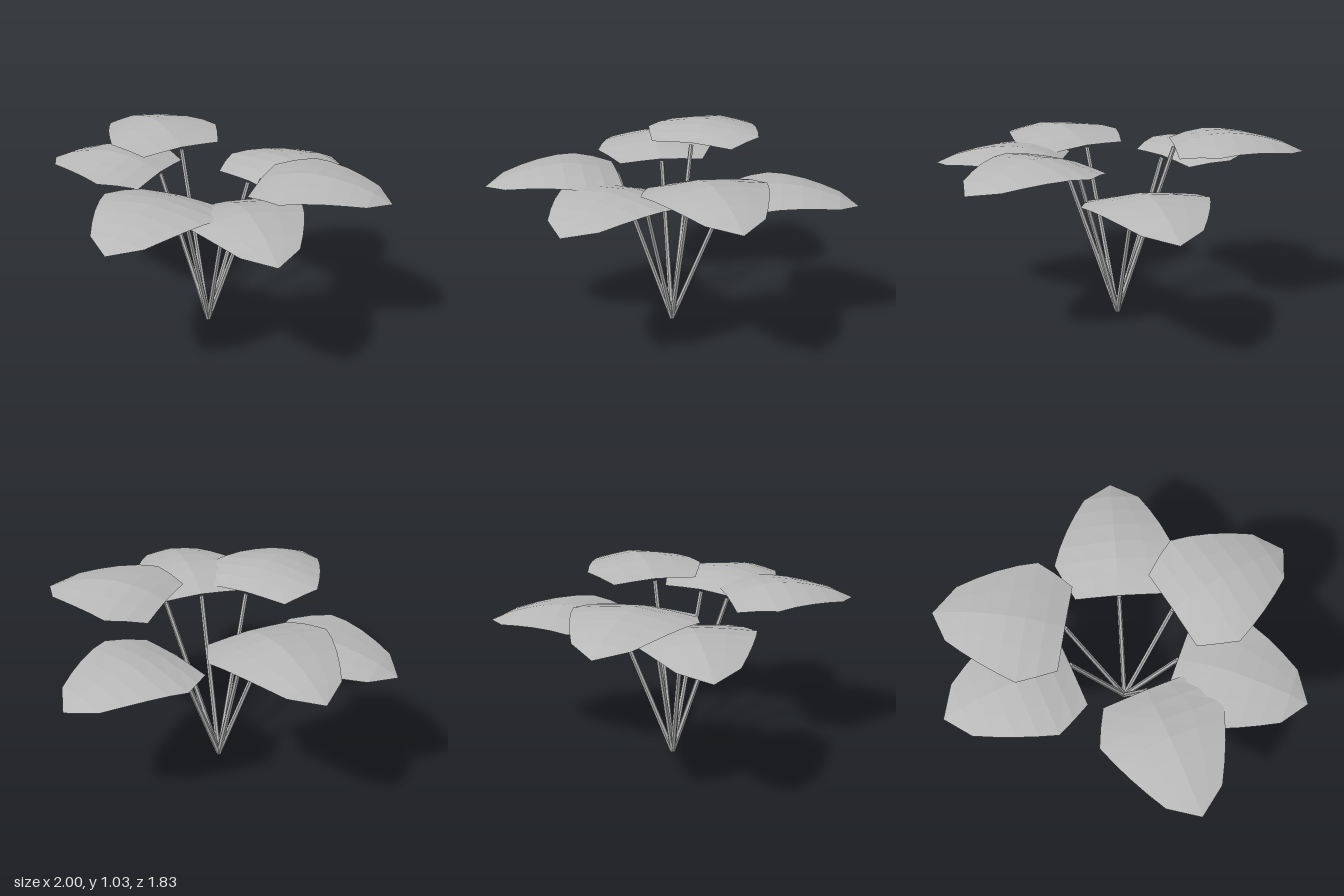
import * as THREE from 'three';

const grey = new THREE.MeshStandardMaterial({ color: 0xb8b8b8, side: THREE.DoubleSide, flatShading: true });
grey.name = 'plain grey';

// Leaf sections from base to tip: distance, half width, ridge height, edge drop
const SECTIONS = [
  [0, 0.24, -0.065, 0.015],
  [0.1, 0.295, -0.03, 0.03],
  [0.2, 0.342, -0.007, 0.045],
  [0.3, 0.308, 0, 0.045],
  [0.41, 0.262, -0.01, 0.04],
  [0.51, 0.212, -0.03, 0.033],
  [0.61, 0.155, -0.06, 0.022],
  [0.715, 0, -0.11, 0],
];
const LEAF_START = 0.305;

// Arched leaf blade with a ridge, pointing along +x
function leafGeometry() {
  const across = [-1, -0.5, 0, 0.5, 1];
  const n = across.length;
  const pos = [], index = [];
  for (const [t, half, y, drop] of SECTIONS)
    for (const u of across)
      pos.push(LEAF_START + t, y - drop * Math.abs(u) ** 1.3, u * half);
  for (let i = 0; i < SECTIONS.length - 1; i++)
    for (let j = 0; j < n - 1; j++) {
      const a = i * n + j, b = a + 1, c = a + n, d = c + 1;
      index.push(a, b, c);
      if (i < SECTIONS.length - 2) index.push(b, d, c);
    }
  const g = new THREE.BufferGeometry();
  g.setAttribute('position', new THREE.Float32BufferAttribute(pos, 3));
  g.setIndex(index);
  g.computeVertexNormals();
  return g;
}

// Thin straight stem from the root to the base of a leaf
function makeStem(top) {
  const stem = new THREE.Mesh(new THREE.CylinderGeometry(0.013, 0.015, top.length(), 6), grey);
  stem.position.copy(top).multiplyScalar(0.5);
  stem.quaternion.setFromUnitVectors(new THREE.Vector3(0, 1, 0), top.clone().normalize());
  stem.name = 'stem';
  return stem;
}

export function createModel() {
  const model = new THREE.Group();
  model.name = 'plant';
  const blade = leafGeometry();

  // Each frond: angle from +x towards +z in degrees, height of the ridge
  const fronds = [[7.3, 1.0], [58, 0.945], [105.7, 0.97], [194.8, 0.93], [226.8, 1.03], [-55.7, 0.85]];
  for (const [deg, height] of fronds) {
    const frond = new THREE.Group();
    frond.name = 'frond';
    const leaf = new THREE.Mesh(blade, grey);
    leaf.name = 'leaf';
    leaf.position.y = height;
    frond.add(leaf, makeStem(new THREE.Vector3(LEAF_START, height - 0.075, 0)));
    frond.rotation.y = -THREE.MathUtils.degToRad(deg);
    frond.position.set(-0.015, 0, -0.07);
    model.add(frond);
  }
  return model;
}
